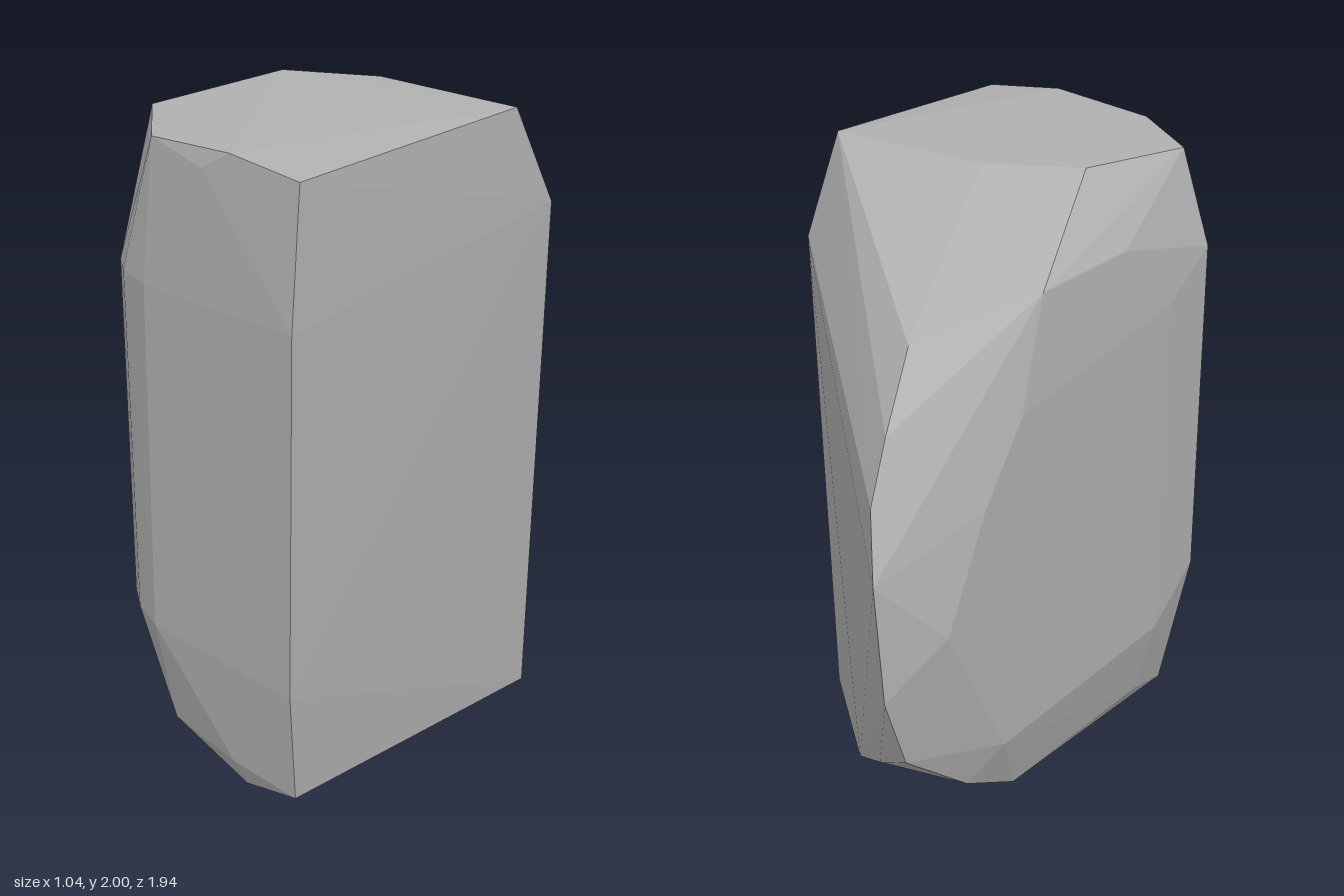
import * as THREE from 'three';
import { ConvexGeometry } from 'three/addons/geometries/ConvexGeometry.js';

export function createModel() {
  const model = new THREE.Group();
  const stoneGrey = new THREE.MeshStandardMaterial({ color: 0xb0b0b0 });

  // Corners of the flat crown and its chipped front edge
  const crown = [
    [0.51, 2, 0.07], [-0.05, 2, 0.07], [-0.33, 2, 0.22], [-0.4, 1.96, 0.68],
    [-0.12, 1.955, 0.91], [0.25, 1.98, 0.94], [0.52, 1.95, 0.93],
  ];
  // Broad front face with a rounded left bevel
  const front = [
    [0.52, 1.53, 0.97], [-0.11, 1.53, 0.97], [-0.26, 1.53, 0.925], [-0.35, 1.53, 0.865],
    [0.48, 0.41, 0.97], [-0.13, 0.43, 0.97], [-0.26, 0.43, 0.925], [-0.36, 0.43, 0.86],
    [0.14, 1.92, 0.95], [0.2, 0.08, 0.95], [-0.12, 0.09, 0.91],
  ];
  // Flat left side and its worn rim
  const left = [
    [-0.5, 1.65, 0.69], [-0.5, 0.5, 0.69], [-0.52, 1.53, 0.43], [-0.52, 0.37, 0.43],
    [-0.5, 1.78, 0.19], [-0.49, 1.78, -0.24], [-0.52, 1.45, -0.38], [-0.52, 1.22, -0.56],
    [-0.52, 0.88, -0.74], [-0.52, 0.37, -0.45],
  ];
  // Slanted back face, ending in a blunt ridge
  const back = [
    [0.52, 1.69, -0.08], [-0.27, 1.68, -0.59], [-0.34, 1.49, -0.79], [-0.37, 1.32, -0.9],
    [-0.43, 1.12, -0.97], [-0.44, 0.73, -0.94], [-0.43, 0.47, -0.83], [-0.3, 0.4, -0.79],
    [-0.06, 0.22, -0.59],
  ];
  // Underside
  const base = [
    [0.45, 0.05, 0.93], [0.45, 0.06, -0.07], [0.22, 0, 0.92], [0.12, 0, -0.19],
    [-0.15, 0, -0.19], [-0.35, 0, 0.46], [-0.4, 0.01, 0.68], [-0.35, 0.04, 0.74],
    [-0.45, 0.1, 0.43], [-0.45, 0.25, -0.55], [-0.45, 0.12, -0.3],
  ];

  const points = [crown, front, left, back, base].flat().map((p) => new THREE.Vector3(...p));
  const rock = new THREE.Mesh(new ConvexGeometry(points), stoneGrey);
  rock.name = 'rock';
  model.add(rock);
  return model;
}
